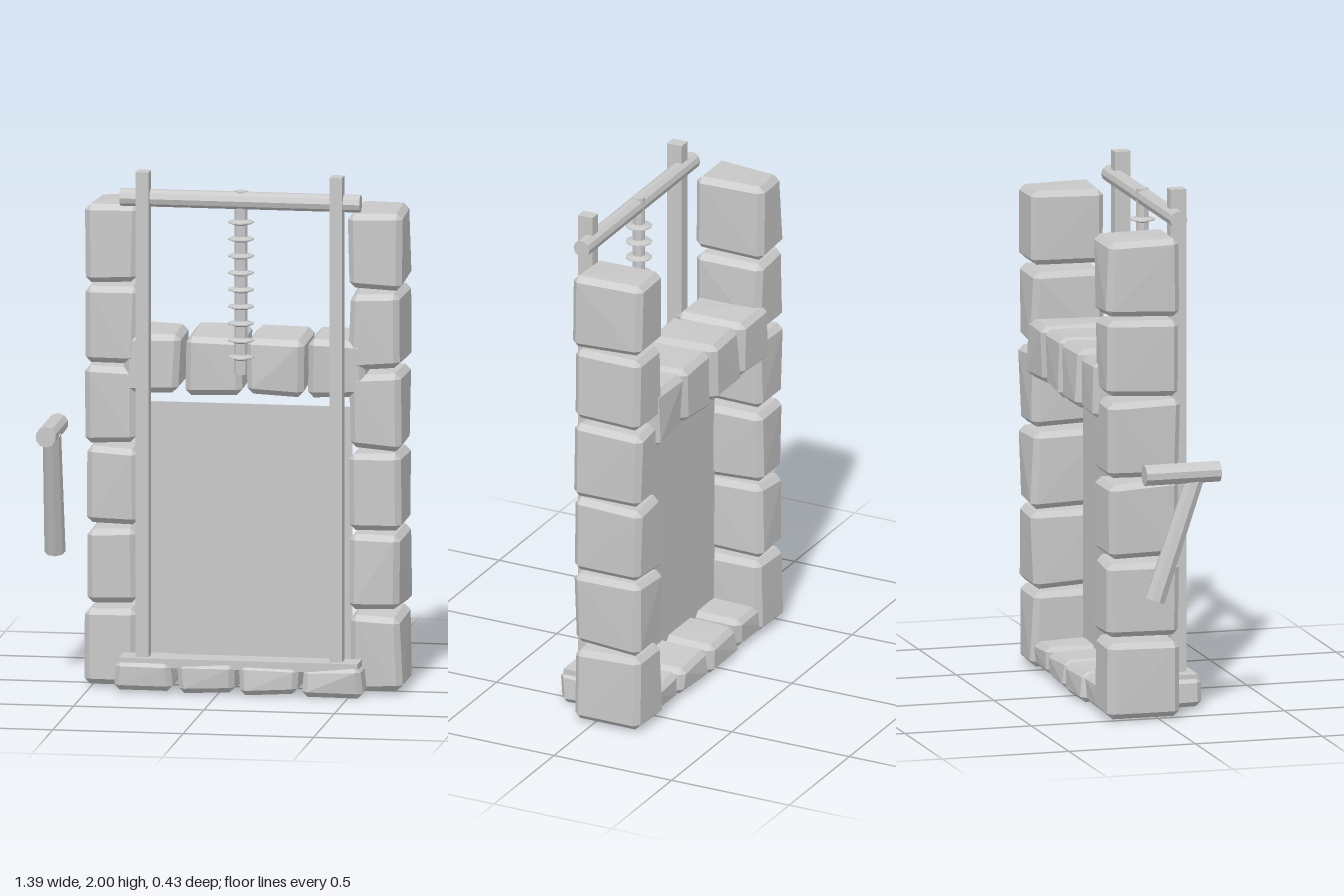
import * as THREE from 'three';
import { ConvexGeometry } from 'three/addons/geometries/ConvexGeometry.js';

export function createModel() {
  const group = new THREE.Group();
  const stone = new THREE.MeshStandardMaterial({ color: 0xc8c8c8, flatShading: true });
  stone.name = 'light grey';

  let seed = 11;
  const rand = () => (seed = (seed * 16807) % 2147483647) / 2147483647;

  const add = (name, geo, x = 0, y = 0, z = 0) => {
    const mesh = new THREE.Mesh(geo, stone);
    mesh.name = name;
    mesh.position.set(x, y, z);
    group.add(mesh);
    return mesh;
  };

  // rough block: corners pushed inward a little, each cut by a chamfer
  const block = (name, min, max, bevel = 0.022, rough = 0.014) => {
    const points = [];
    for (let i = 0; i < 8; i++) {
      const side = [i & 1, (i >> 1) & 1, (i >> 2) & 1];
      const corner = side.map((s, a) => (s ? max[a] - rand() * rough : min[a] + rand() * rough));
      for (let face = 0; face < 3; face++) {
        const p = corner.map((c, a) => (a === face ? c : c + (side[a] ? -bevel : bevel)));
        points.push(new THREE.Vector3(...p));
      }
    }
    add(name, new ConvexGeometry(points));
  };

  const box = (name, min, max) =>
    add(name, new THREE.BoxGeometry(max[0] - min[0], max[1] - min[1], max[2] - min[2]),
      (min[0] + max[0]) / 2, (min[1] + max[1]) / 2, (min[2] + max[2]) / 2);

  // round bar between two points
  const bar = (name, a, b, r0, r1, sides) => {
    const from = new THREE.Vector3(...a), to = new THREE.Vector3(...b);
    const dir = to.clone().sub(from);
    const mesh = add(name, new THREE.CylinderGeometry(r1, r0, dir.length(), sides));
    mesh.position.copy(from).add(to).multiplyScalar(0.5);
    mesh.quaternion.setFromUnitVectors(new THREE.Vector3(0, 1, 0), dir.normalize());
  };

  // side columns, six blocks each
  for (let i = 0; i < 6; i++) {
    const y = i * 0.31;
    block('rightColumnStone', [-0.53, y + 0.002, -0.207], [-0.318, y + 0.307, 0.09]);
    block('leftColumnStone', [0.48, y + 0.002, -0.207], [0.692, y + 0.307, 0.09]);
  }

  // lintel and sill courses, four blocks each
  for (let i = 0; i < 4; i++) {
    const x = -0.385 + i * 0.236;
    block('lintelStone', [x, 1.128, -0.218], [x + 0.23, 1.365, 0.088]);
    const s = -0.4 + i * 0.241;
    block('sillStone', [s, 0, -0.2], [s + 0.236, 0.125, 0.213], 0.02);
  }

  // gate panel, base rail and guide posts
  box('gatePanel', [-0.33, 0.09, -0.003], [0.49, 1.09, 0.003]);
  box('baseRail', [-0.375, 0.1, 0.085], [0.54, 0.135, 0.195]);
  box('rightPost', [-0.315, 0.13, 0.105], [-0.265, 2, 0.167]);
  box('leftPost', [0.428, 0.13, 0.105], [0.476, 2, 0.167]);

  // crossbar and threaded lifting screw
  bar('crossbar', [-0.38, 1.895, 0.118], [0.54, 1.895, 0.118], 0.034, 0.034, 10);
  bar('screwShaft', [0.08, 1.225, 0.11], [0.08, 1.93, 0.11], 0.025, 0.025, 8);
  const ridge = [[0.02, -0.012], [0.05, -0.002], [0.05, 0.002], [0.02, 0.012]]
    .map(([r, y]) => new THREE.Vector2(r, y));
  for (let i = 0; i < 9; i++) {
    add('screwThread', new THREE.LatheGeometry(ridge, 10), 0.08, 1.29 + i * 0.065, 0.11);
  }

  // detached crank: axle and slanted arm
  bar('crankAxle', [-0.655, 0.975, -0.1], [-0.655, 0.975, 0.195], 0.04, 0.04, 10);
  bar('crankArm', [-0.645, 0.97, 0.11], [-0.66, 0.49, -0.06], 0.035, 0.04, 8);

  return group;
}
